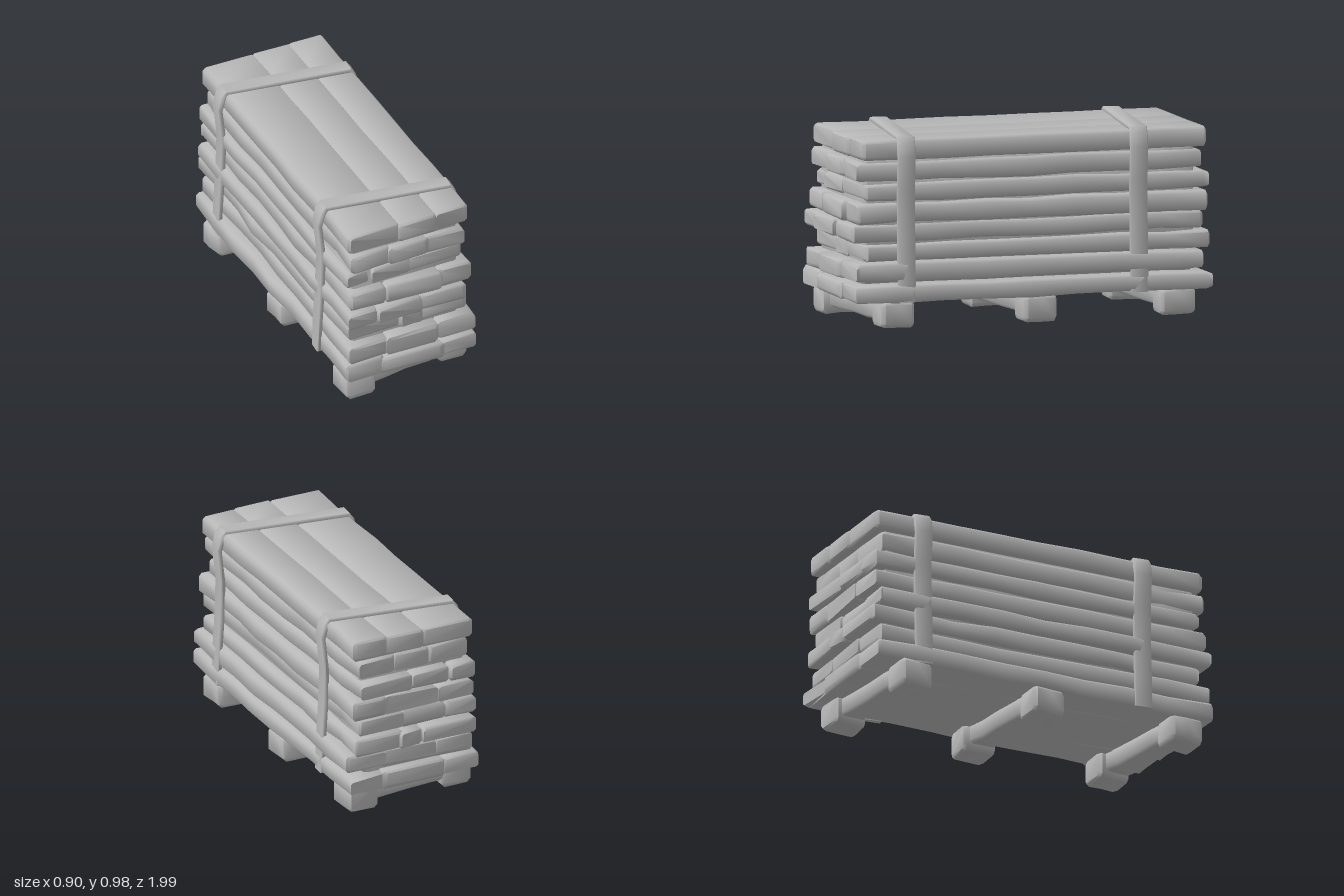
import * as THREE from 'three';
import { toCreasedNormals } from 'three/addons/utils/BufferGeometryUtils.js';

const wood = new THREE.MeshStandardMaterial({ color: 0xb8b8b8 });
wood.name = 'bare grey wood';

// small seeded random, 0..1
let seed = 11;
const rnd = () => (seed = (seed * 16807) % 2147483647) / 2147483647;
const wobble = (a) => (rnd() - 0.5) * 2 * a;

// the stack leans: u runs across it, w along it
const lean = (u, y, w) => [u + 0.084 * w, y, w - 0.165 * u];
const straight = (u, y, w) => [u, y, w];

// rough-hewn plank: a chamfered section lofted along w
function plankGeometry(u0, u1, y0, y1, w0, w1, rough, map = lean, steps = 8) {
  const cu = (u0 + u1) / 2, cy = (y0 + y1) / 2;
  const hu = (u1 - u0) / 2, hy = (y1 - y0) / 2;
  const c = Math.min(hu, hy) * 0.28;
  const section = [[hu, -hy + c], [hu, hy - c], [hu - c, hy], [-hu + c, hy],
    [-hu, hy - c], [-hu, -hy + c], [-hu + c, -hy], [hu - c, -hy]];
  const rings = [[w0, 0.014], [w0 + 0.014, 0]];
  for (let i = 1; i < steps; i++) rings.push([w0 + (w1 - w0) * i / steps, 0]);
  rings.push([w1 - 0.014, 0], [w1, 0.014]);

  const pos = [], index = [], n = section.length;
  rings.forEach(([w, inset]) => {
    const du = wobble(rough), dy = wobble(rough * 0.5), su = wobble(rough), sy = wobble(rough * 0.5);
    const skew = wobble(rough);
    section.forEach(([u, y]) => {
      const ku = (hu - inset + su) / hu, ky = (hy - inset * 0.7 + sy) / hy;
      pos.push(...map(cu + u * ku + du, cy + y * ky + dy, w + skew * Math.sign(u)));
    });
  });
  for (let i = 0; i < rings.length - 1; i++) {
    for (let j = 0; j < n; j++) {
      const a = i * n + j, b = i * n + (j + 1) % n;
      index.push(a, b, b + n, a, b + n, a + n);
    }
  }
  const last = (rings.length - 1) * n;
  for (let j = 1; j < n - 1; j++) {
    index.push(last, last + j, last + j + 1, 0, j + 1, j);
  }
  const g = new THREE.BufferGeometry();
  g.setAttribute('position', new THREE.Float32BufferAttribute(pos, 3));
  g.setIndex(index);
  return toCreasedNormals(g, 0.95);
}

function add(parent, name, geometry) {
  const m = new THREE.Mesh(geometry, wood);
  m.name = name;
  parent.add(m);
  return m;
}

export function createModel() {
  const model = new THREE.Group();
  model.name = 'strappedPlankStack';

  // layers: bottom, top, left, right, back, front, then where the planks meet
  const layers = [
    [0.143, 0.236, -0.37, 0.375, -0.93, 0.948, [0.27, 0.72]],
    [0.246, 0.34, -0.34, 0.367, -0.9, 0.945, [0.3, 0.7]],
    [0.349, 0.44, -0.342, 0.335, -0.945, 0.885, [0.45, 0.62]],
    [0.443, 0.537, -0.363, 0.305, -0.905, 0.945, [0.25, 0.62]],
    [0.543, 0.643, -0.338, 0.342, -0.925, 0.932, [0.3, 0.74]],
    [0.651, 0.742, -0.347, 0.315, -0.94, 0.882, [0.22, 0.55]],
    [0.752, 0.855, -0.325, 0.315, -0.895, 0.918, [0.35, 0.66]],
    [0.865, 0.967, -0.338, 0.343, -0.922, 0.905, [0.42, 0.72]],
  ];
  const stack = new THREE.Group();
  stack.name = 'plankLayers';
  model.add(stack);
  layers.forEach(([y0, y1, l, r, b, f, joints], k) => {
    const top = k === layers.length - 1;
    const cuts = [0, ...joints, 1].map((t) => l + (r - l) * t);
    for (let i = 0; i < 3; i++) {
      const drop = top ? 0 : rnd() * 0.008;
      const lap = i % 2 ? 0 : 0.012;
      add(stack, `plank${k + 1}_${i + 1}`, plankGeometry(cuts[i] - (i ? 0.008 : 0), cuts[i + 1] + (i < 2 ? 0.008 : 0),
        y0, y1 - drop, b + rnd() * 0.015, f - lap, top ? 0.003 : 0.008));
    }
  });

  // packed inner timber seen in the gaps
  add(model, 'innerTimber', plankGeometry(-0.31, 0.29, 0.17, 0.94, -0.865, 0.865, 0));

  // three bearers, each a crossbar on two foot blocks: [left x, z, right x, z]
  const bearers = [[-0.205, 0.85, 0.35, 0.665], [-0.28, 0.08, 0.28, -0.085], [-0.36, -0.66, 0.2, -0.81]];
  bearers.forEach(([xa, za, xb, zb], i) => {
    const bearer = new THREE.Group();
    bearer.name = `bearer${i + 1}`;
    const turn = Math.atan2(za - zb, xb - xa) * 0.5;
    [[xa, za], [xb, zb]].forEach(([x, z]) => {
      const foot = add(bearer, 'footBlock', plankGeometry(-0.083, 0.083, 0.01, 0.15, -0.088, 0.088, 0.004, straight, 2));
      foot.position.set(x, 0, z);
      foot.rotation.y = turn;
    });
    const bar = add(bearer, 'crossbar', plankGeometry(-0.068, 0.068, 0.045, 0.15, -0.28, 0.28, 0.005, straight, 4));
    bar.position.set((xa + xb) / 2, 0, (za + zb) / 2);
    bar.rotation.y = Math.atan2(xb - xa, zb - za);
    model.add(bearer);
  });

  // straps over the top and down both sides
  const outer = [[0.375, 0.145], [0.37, 0.3], [0.358, 0.5], [0.352, 0.7], [0.372, 0.88], [0.355, 0.95], [0.333, 0.978]];
  const inner = outer.map(([x, y], i) => [x - 0.014, y - 0.014 * i / 6]);
  const mirror = ([x, y]) => [-x, y];
  const outline = [...outer, ...outer.map(mirror).reverse(), ...inner.map(mirror), ...inner.slice().reverse()];
  const strapShape = new THREE.Shape(outline.map(([x, y]) => new THREE.Vector2(x, y)));
  [0.61, -0.61].forEach((z, i) => {
    const g = new THREE.ExtrudeGeometry(strapShape, {
      depth: 0.08, bevelEnabled: true, bevelSize: 0.005, bevelThickness: 0.006, bevelSegments: 1,
    });
    g.translate(0, 0, -0.04);
    const strap = add(model, i ? 'backStrap' : 'frontStrap', toCreasedNormals(g, 0.9));
    strap.position.set(z * 0.084, 0, z);
  });

  return model;
}
